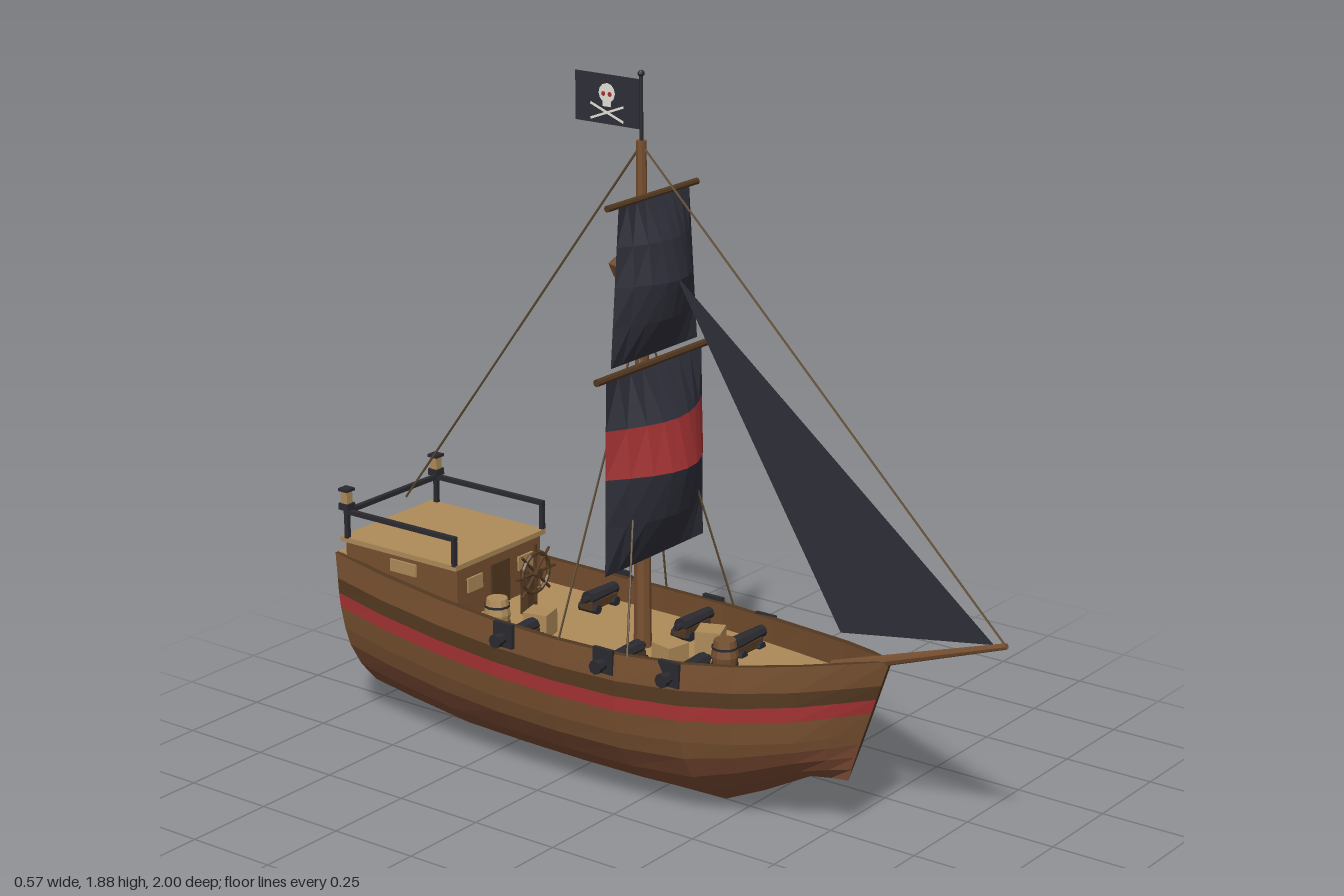
import * as THREE from 'three';

const mat = (name, color) => new THREE.MeshStandardMaterial({ name, color, flatShading: true, side: THREE.DoubleSide });
const M = {
  wood: mat('plank brown', 0x775030),
  bottom: mat('hull bottom brown', 0x7a4a33),
  dark: mat('dark timber', 0x523820),
  deck: mat('deck tan', 0xae8b59),
  red: mat('red', 0xa43233),
  cloth: mat('black sailcloth', 0x2e2e39),
  iron: mat('iron', 0x2a2a30),
  rope: mat('rope', 0x5e4a30),
  bone: mat('bone white', 0xe6e2d8),
};
const V = (x, y, z) => new THREE.Vector3(x, y, z);

function add(parent, name, geometry, material, x = 0, y = 0, z = 0) {
  const m = new THREE.Mesh(geometry, material);
  m.name = name;
  m.position.set(x, y, z);
  parent.add(m);
  return m;
}
const box = (p, name, material, w, h, d, x, y, z) =>
  add(p, name, new THREE.BoxGeometry(w, h, d), material, x, y, z);

// Tapered round bar between two points
function rod(p, name, material, a, b, r0, r1 = r0, sides = 8) {
  const d = b.clone().sub(a);
  const m = add(p, name, new THREE.CylinderGeometry(r1, r0, d.length(), sides), material);
  m.position.copy(a).addScaledVector(d, 0.5);
  m.quaternion.setFromUnitVectors(V(0, 1, 0), d.normalize());
  return m;
}

// Surface of nu x nv cells from f(i, j)
function grid(f, nu, nv) {
  const pos = [], idx = [];
  for (let i = 0; i <= nu; i++) for (let j = 0; j <= nv; j++) pos.push(...f(i, j).toArray());
  for (let i = 0; i < nu; i++) for (let j = 0; j < nv; j++) {
    const a = i * (nv + 1) + j, b = a + nv + 1;
    idx.push(a, b, a + 1, b, b + 1, a + 1);
  }
  const g = new THREE.BufferGeometry();
  g.setAttribute('position', new THREE.Float32BufferAttribute(pos, 3));
  g.setIndex(idx);
  g.computeVertexNormals();
  return g;
}

// Hull stations: z at keel, z at rail, keel y, rail y, half width
const stations = [
  [-0.94, -1, 0.035, 0.475, 0.187], [-0.8, -0.82, 0.02, 0.455, 0.207], [-0.6, -0.6, 0, 0.44, 0.229],
  [-0.4, -0.4, 0, 0.432, 0.244], [-0.2, -0.2, 0, 0.43, 0.25], [0, 0, 0, 0.432, 0.243],
  [0.18, 0.18, 0.005, 0.44, 0.213], [0.3, 0.32, 0.06, 0.452, 0.173], [0.44, 0.47, 0.135, 0.472, 0.115],
  [0.5, 0.58, 0.145, 0.488, 0.06], [0.55, 0.67, 0.15, 0.5, 0.006],
];
// Upper levels are drops from the rail, lower ones fractions of the rest
const upper = [[0, 0.96], [0.07, 0.985], [0.11, 1], [0.15, 1], [0.21, 0.97]];
const lower = [[0.78, 0.91], [0.5, 0.74], [0.24, 0.47], [0, 0.04]];
const N = stations.length - 1;

function hullPoint(i, level, side, inset = 0) {
  const [zb, zt, keel, rail, hw] = stations[i];
  const low = level >= upper.length;
  const [t, w] = low ? lower[level - upper.length] : upper[level];
  const y = low ? keel + (rail - 0.21 - keel) * t : rail - t;
  return V(side * Math.max(0, hw * w - inset), y, zb + (zt - zb) * (y - keel) / (rail - keel));
}

function buildHull(root) {
  const g = new THREE.Group();
  g.name = 'hull';
  root.add(g);
  const bands = [['topPlank', M.wood, 0, 1], ['darkWale', M.dark, 1, 2], ['redStripe', M.red, 2, 3],
    ['sidePlanks', M.wood, 3, 5], ['hullBottom', M.bottom, 5, 8]];
  for (const s of [1, -1]) {
    for (const [name, m, a, b] of bands)
      add(g, name, grid((i, j) => hullPoint(i, a + j, s), N, b - a), m);
    add(g, 'railCap', grid((i, j) => hullPoint(i, 0, s, j * 0.018), N, 1), M.dark);
    add(g, 'bulwarkInside', grid((i, j) => hullPoint(i, j, s, 0.018), N, 1), M.wood);
  }
  add(g, 'transom', grid((i, j) => hullPoint(0, i, j ? 1 : -1), 8, 1), M.dark);
  add(g, 'keel', grid((i, j) => hullPoint(i, 8, j ? 1 : -1), N, 1), M.bottom);
  add(g, 'stem', grid((i, j) => hullPoint(N, i, j ? 1 : -1), 8, 1), M.dark);
  add(g, 'deck', grid((i, j) => hullPoint(i, 1, j ? 1 : -1, 0.018), N, 1), M.deck);
  rod(g, 'bowsprit', M.wood, V(0, 0.445, 0.5), V(0, 0.615, 0.995), 0.017, 0.008);
}

function buildCabin(root) {
  const g = new THREE.Group();
  g.name = 'sternCabin';
  root.add(g);
  box(g, 'cabinWalls', M.wood, 0.346, 0.16, 0.39, 0, 0.435, -0.77);
  box(g, 'cabinRoof', M.deck, 0.374, 0.014, 0.405, 0, 0.523, -0.77);
  box(g, 'sternLedge', M.deck, 0.34, 0.01, 0.04, 0, 0.472, -0.978);
  box(g, 'door', M.dark, 0.075, 0.12, 0.008, 0, 0.43, -0.573);
  for (const x of [-0.1, 0, 0.1]) {
    box(g, 'sternWindowFrame', M.deck, 0.07, 0.036, 0.006, x, 0.495, -0.967);
    box(g, 'sternWindow', M.iron, 0.056, 0.026, 0.006, x, 0.495, -0.971);
  }
  for (const s of [1, -1]) {
    box(g, 'sideWindow', M.deck, 0.008, 0.034, 0.09, s * 0.175, 0.482, -0.76);
    box(g, 'frontWindow', M.deck, 0.06, 0.04, 0.008, s * 0.105, 0.46, -0.573);
    // Rail posts, side rails and stern lanterns
    for (const z of [-0.575, -0.95]) box(g, 'railPost', M.iron, 0.012, 0.08, 0.012, s * 0.183, 0.568, z);
    box(g, 'sideRail', M.iron, 0.014, 0.012, 0.387, s * 0.183, 0.604, -0.7625);
    box(g, 'lanternBase', M.iron, 0.032, 0.018, 0.032, s * 0.183, 0.619, -0.95);
    box(g, 'lanternGlass', M.deck, 0.022, 0.034, 0.022, s * 0.183, 0.645, -0.95);
    box(g, 'lanternCap', M.iron, 0.032, 0.008, 0.032, s * 0.183, 0.666, -0.95);
  }
  box(g, 'backRail', M.iron, 0.38, 0.012, 0.014, 0, 0.604, -0.95);
}

function buildCannon(root, s, z, x) {
  const g = new THREE.Group();
  g.name = 'cannon';
  g.position.set(x * s, 0.4, z);
  g.scale.x = s;
  root.add(g);
  rod(g, 'barrel', M.iron, V(-0.18, 0, 0), V(0, 0, 0), 0.021, 0.014);
  rod(g, 'muzzleRing', M.iron, V(-0.012, 0, 0), V(0.004, 0, 0), 0.019);
  rod(g, 'breechKnob', M.iron, V(-0.2, 0, 0), V(-0.18, 0, 0), 0.009);
  box(g, 'carriage', M.dark, 0.11, 0.022, 0.04, -0.13, -0.018, 0);
  for (const wx of [-0.17, -0.09])
    rod(g, 'wheels', M.iron, V(wx, -0.027, -0.03), V(wx, -0.027, 0.03), 0.014);
  box(g, 'gunport', M.iron, 0.012, 0.066, 0.062, -0.034, 0.008, 0);
}

function buildSail(root, name, top, bottom, wTop, wBottom, bulge, bands) {
  const rows = 4, cols = 8;
  for (const [m, a, b] of bands) {
    add(root, name, grid((i, j) => {
      const v = (a + i) / rows, u = j / cols;
      return V((wTop + (wBottom - wTop) * v) * (u * 2 - 1), top + (bottom - top) * v,
        -0.055 + bulge * Math.sin(Math.PI * u) * Math.sin(Math.PI * v));
    }, b - a, cols), m);
  }
}

function buildRig(root) {
  const g = new THREE.Group();
  g.name = 'rigging';
  root.add(g);
  const mz = -0.095, peak = V(0, 1.69, mz);
  rod(g, 'mast', M.wood, V(0, 0.34, mz), V(0, 1.7, mz), 0.024, 0.013);
  rod(g, 'flagpole', M.iron, V(0, 1.7, mz), V(0, 1.865, mz), 0.005);
  add(g, 'poleKnob', new THREE.SphereGeometry(0.009, 8, 6), M.iron, 0, 1.868, mz);
  add(g, 'crowsNest', new THREE.CylinderGeometry(0.084, 0.07, 0.035, 8), M.wood, 0, 1.372, mz);
  rod(g, 'upperYard', M.dark, V(-0.185, 1.567, -0.06), V(0.185, 1.567, -0.06), 0.009);
  rod(g, 'lowerYard', M.dark, V(-0.232, 1.135, -0.06), V(0.232, 1.135, -0.06), 0.01);
  buildSail(g, 'upperSail', 1.565, 1.16, 0.145, 0.18, 0.08, [[M.cloth, 0, 4]]);
  buildSail(g, 'mainSail', 1.13, 0.62, 0.2, 0.208, 0.105, [[M.cloth, 0, 1], [M.red, 1, 2], [M.cloth, 2, 4]]);
  const jib = new THREE.BufferGeometry().setFromPoints([V(0, 0.61, 0.96), V(0, 0.54, 0.52), V(0, 1.375, 0.01)]);
  jib.computeVertexNormals();
  add(g, 'jib', jib, M.cloth);
  // Stays and shrouds
  rod(g, 'foreStay', M.rope, peak, V(0, 0.617, 0.99), 0.003, 0.003, 5);
  rod(g, 'backStay', M.rope, peak, V(0, 0.605, -0.9), 0.003, 0.003, 5);
  for (const s of [1, -1]) for (const z of [-0.19, 0.03])
    rod(g, 'shroud', M.rope, V(0, 1.27, mz), V(s * 0.23, 0.43, z), 0.003, 0.003, 5);
  // Flag with painted skull and crossed bones on both faces
  box(g, 'flag', M.cloth, 0.004, 0.125, 0.2, 0, 1.79, -0.2);
  box(g, 'skullJaw', M.bone, 0.008, 0.024, 0.026, 0, 1.784, -0.2);
  const disc = (name, m, r, w, y, z) => rod(g, name, m, V(-w, y, z), V(w, y, z), r, r, 12);
  disc('skull', M.bone, 0.025, 0.004, 1.806, -0.2);
  for (const s of [1, -1]) {
    disc('eye', M.red, 0.006, 0.0048, 1.804, -0.2 + s * 0.01);
    box(g, 'crossedBone', M.bone, 0.007, 0.006, 0.11, 0, 1.757, -0.2).rotation.x = s * 0.36;
  }
}

function buildDeckGear(root) {
  const g = new THREE.Group();
  g.name = 'deckGear';
  root.add(g);
  for (const s of [1, -1])
    for (const [z, x] of [[-0.357, 0.282], [-0.04, 0.27], [0.148, 0.243]]) buildCannon(g, s, z, x);
  for (const [x, z, turn] of [[-0.095, -0.36, 0.25], [0.065, 0.075, 0.4], [-0.075, 0.05, -0.2]])
    box(g, 'crate', M.deck, 0.068, 0.068, 0.068, x, 0.394, z).rotation.y = turn;
  // Barrels
  const profile = [[0, 0], [0.028, 0], [0.036, 0.042], [0.028, 0.085], [0, 0.085]].map(p => new THREE.Vector2(...p));
  for (const [x, z, m] of [[-0.125, -0.48, M.deck], [-0.01, 0.175, M.wood]]) {
    add(g, 'barrel', new THREE.LatheGeometry(profile, 12), m, x, 0.36, z);
    for (const y of [0.02, 0.065])
      add(g, 'barrelHoop', new THREE.CylinderGeometry(0.0345, 0.0345, 0.007, 12, 1, true), M.iron, x, 0.36 + y, z);
  }
  // Steering wheel on its stand
  const wheel = new THREE.Group();
  wheel.name = 'steeringWheel';
  wheel.position.set(0, 0.485, -0.45);
  g.add(wheel);
  add(wheel, 'rim', new THREE.TorusGeometry(0.055, 0.006, 6, 16), M.dark);
  for (let k = 0; k < 4; k++) {
    const a = k * Math.PI / 4, d = V(Math.cos(a) * 0.08, Math.sin(a) * 0.08, 0);
    rod(wheel, 'spoke', M.dark, d.clone().negate(), d, 0.004, 0.004, 6);
  }
  rod(wheel, 'hub', M.dark, V(0, 0, -0.02), V(0, 0, 0.015), 0.014);
  box(g, 'wheelStand', M.dark, 0.04, 0.13, 0.025, 0, 0.425, -0.475);
}

export function createModel() {
  const root = new THREE.Group();
  root.name = 'sailingShip';
  buildHull(root);
  buildCabin(root);
  buildRig(root);
  buildDeckGear(root);
  return root;
}
